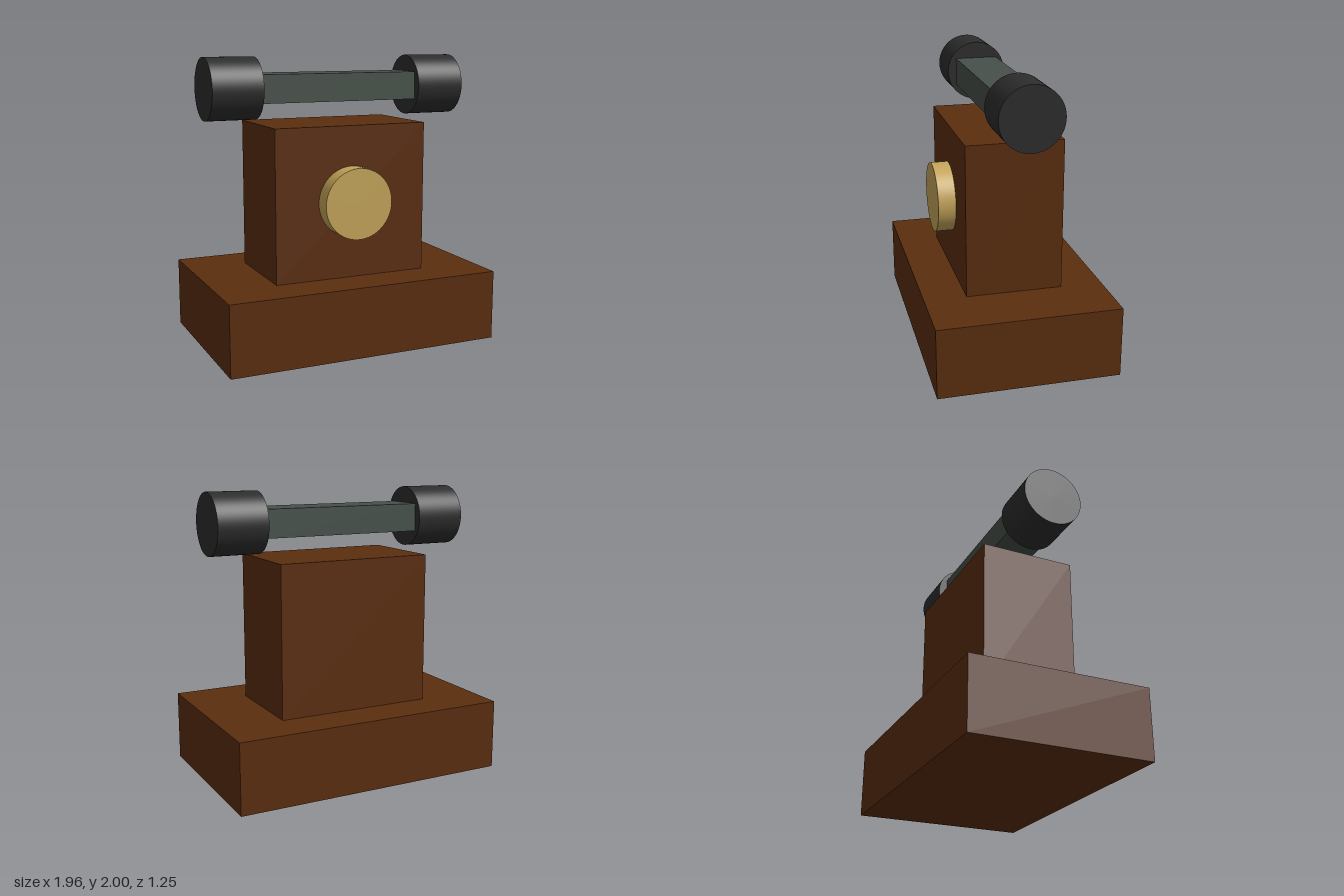
import * as THREE from 'three';

const material = (name, color) => {
  const m = new THREE.MeshStandardMaterial({ color });
  m.name = name;
  return m;
};

export function createModel() {
  const wood = material('brown wood', 0x5c2e0f);
  const brass = material('brass', 0xc5a55a);
  const grip = material('grey green', 0x465049);
  const black = material('black', 0x2d2d2d);

  const model = new THREE.Group();
  model.name = 'deskTelephone';

  const add = (name, geometry, mat, x, y, z) => {
    const mesh = new THREE.Mesh(geometry, mat);
    mesh.name = name;
    mesh.position.set(x, y, z);
    model.add(mesh);
    return mesh;
  };

  // Stepped wooden body
  add('base', new THREE.BoxGeometry(1.956, 0.49, 1.246), wood, 0, 0.245, 0);
  add('body', new THREE.BoxGeometry(1.11, 1.052, 0.666), wood, 0, 1.016, 0);

  // Round dial on the front of the body
  const dial = new THREE.CylinderGeometry(0.244, 0.244, 0.122, 64).rotateX(Math.PI / 2);
  add('dial', dial, brass, 0, 1.022, 0.394);

  // Handset floating above the body: bar with a round piece at each end
  add('handle', new THREE.BoxGeometry(1.16, 0.194, 0.3), grip, 0, 1.788, 0);
  for (const side of [-1, 1]) {
    const end = new THREE.CylinderGeometry(0.212, 0.212, 0.354, 64).rotateZ(Math.PI / 2);
    add(side > 0 ? 'leftEarpiece' : 'rightEarpiece', end, black, side * 0.755, 1.788, 0);
  }

  return model;
}
